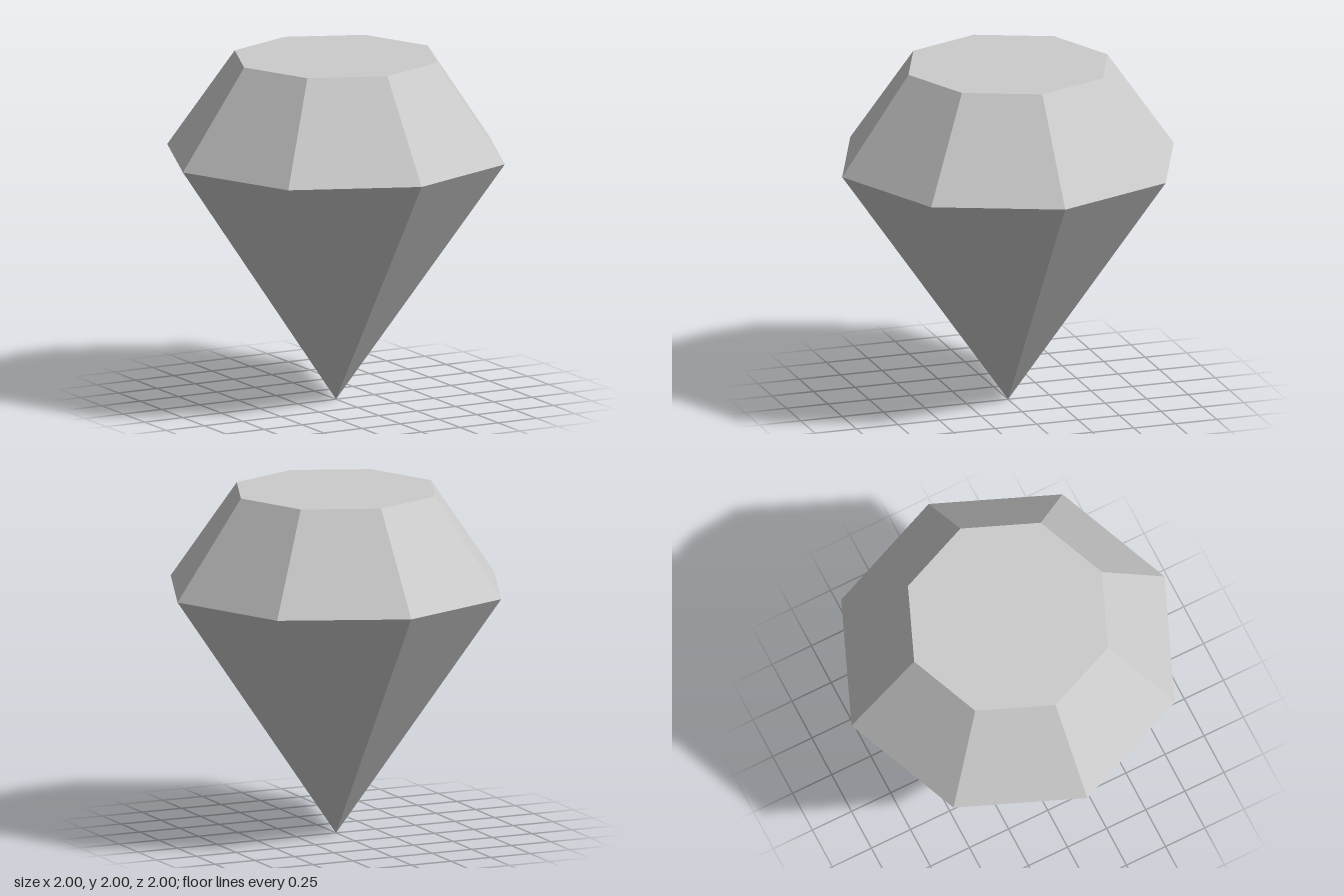
import * as THREE from 'three';

const SIDES = 8;
const GIRDLE_Y = 1.43;
const HEIGHT = 2;

export function createModel() {
  const gem = new THREE.Group();
  gem.name = 'gem';

  const stone = new THREE.MeshStandardMaterial({ color: 0xcccccc });
  stone.name = 'light grey stone';
  stone.flatShading = true;

  // Adds one faceted ring between two heights
  function facets(name, topRadius, bottomRadius, bottomY, topY) {
    const h = topY - bottomY;
    const geometry = new THREE.CylinderGeometry(topRadius, bottomRadius, h, SIDES, 1, true);
    geometry.translate(0, bottomY + h / 2, 0);
    const mesh = new THREE.Mesh(geometry, stone);
    mesh.name = name;
    gem.add(mesh);
  }

  // Sloping upper facets and long lower facets meeting in a point
  facets('crown', 0.6, 1, GIRDLE_Y, HEIGHT);
  facets('pavilion', 1, 0, 0, GIRDLE_Y);

  // Flat octagonal top, corners in line with the crown
  const table = new THREE.Mesh(new THREE.CircleGeometry(0.6, SIDES), stone);
  table.name = 'table';
  table.rotation.x = -Math.PI / 2;
  table.position.y = HEIGHT;
  gem.add(table);

  return gem;
}
